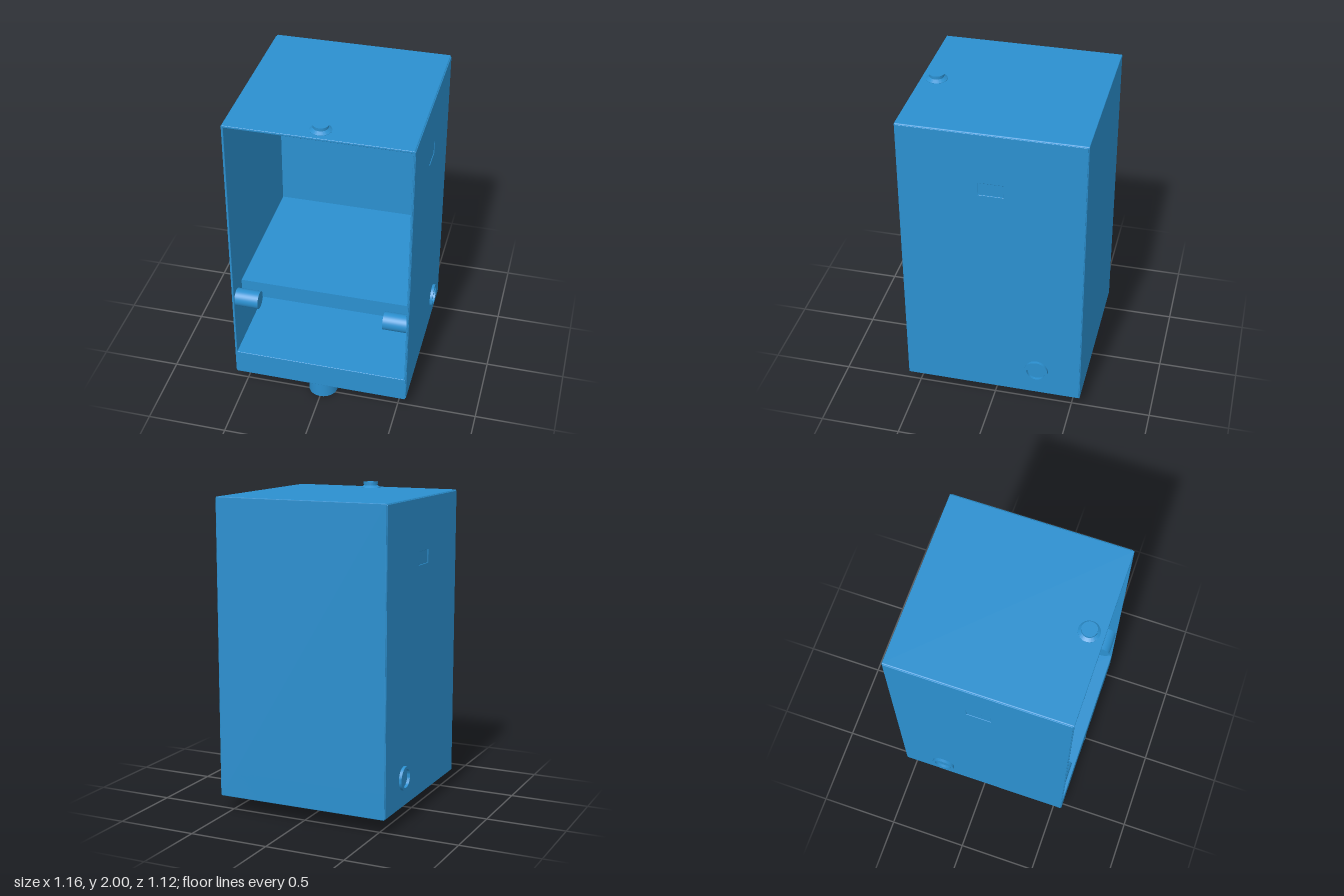
import * as THREE from 'three';
import { toCreasedNormals } from 'three/addons/utils/BufferGeometryUtils.js';

const material = new THREE.MeshStandardMaterial({ color: 0x2b90d0 });

function add(parent, name, geometry, x = 0, y = 0, z = 0) {
  const mesh = new THREE.Mesh(geometry, material);
  mesh.name = name;
  mesh.position.set(x, y, z);
  parent.add(mesh);
  return mesh;
}

function lathe(profile) {
  const points = profile.map(([r, y]) => new THREE.Vector2(r, y));
  return toCreasedNormals(new THREE.LatheGeometry(points, 48), 0.4);
}

// Rectangle outline with rounded corners
function roundedRect(x0, y0, x1, y1, r) {
  const shape = new THREE.Shape();
  shape.moveTo(x0 + r, y0);
  shape.absarc(x1 - r, y0 + r, r, -Math.PI / 2, 0);
  shape.absarc(x1 - r, y1 - r, r, 0, Math.PI / 2);
  shape.absarc(x0 + r, y1 - r, r, Math.PI / 2, Math.PI);
  shape.absarc(x0 + r, y0 + r, r, Math.PI, Math.PI * 1.5);
  return shape;
}

// Rectangular hole, wound against the outline
function rectHole(x0, y0, x1, y1) {
  return new THREE.Path([[x0, y0], [x0, y1], [x1, y1], [x1, y0]]
    .map(([x, y]) => new THREE.Vector2(x, y)));
}

// Extrusion centred on its depth, with edges softened inwards
function softExtrude(shape, depth, bevel) {
  return new THREE.ExtrudeGeometry(shape, {
    depth: depth - 2 * bevel, bevelEnabled: true, bevelThickness: bevel,
    bevelSize: bevel, bevelOffset: -bevel, bevelSegments: 3, curveSegments: 4,
  }).translate(0, 0, bevel - depth / 2);
}

export function createModel() {
  const model = new THREE.Group();
  model.name = 'openCabinet';

  // Casing: thin walls and a thick base around an open front
  const outline = roundedRect(-0.556, 0.098, 0.556, 1.963, 0.008);
  outline.holes.push(rectHole(-0.545, 0.265, 0.545, 1.948));
  add(model, 'casing', softExtrude(outline, 1.12, 0.004));

  // Back wall closing the casing
  add(model, 'backWall', new THREE.BoxGeometry(1.1, 1.85, 0.022), 0, 1.03, -0.549);

  // Inner shelf
  add(model, 'shelf', new THREE.BoxGeometry(1.092, 0.11, 0.94), 0, 0.675, -0.07);

  // Side skins with a shallow recess, hinge pins and side ports, mirrored
  const skinShape = roundedRect(-0.555, 0.104, 0.555, 1.957, 0.008);
  skinShape.holes.push(rectHole(-0.075, 1.555, 0.075, 1.635));
  const skin = softExtrude(skinShape, 0.01, 0.003);
  const portRing = lathe([[0.058, 0], [0.075, 0], [0.075, 0.018], [0.058, 0.018], [0.058, 0]]);
  for (const side of [1, -1]) {
    const label = side > 0 ? 'left' : 'right';
    add(model, label + 'SideSkin', skin, side * 0.555).rotation.y = side * Math.PI / 2;
    const pin = add(model, label + 'HingePin',
      new THREE.CylinderGeometry(0.056, 0.056, 0.152, 40), side * 0.471, 0.675, 0.5);
    pin.rotation.z = Math.PI / 2;
    const port = add(model, label + 'PortRing', portRing, side * 0.56, 0.283, -0.28);
    port.rotation.z = -side * Math.PI / 2;
  }

  // Hollow outlet pipe under the base
  add(model, 'outletPipe',
    lathe([[0.086, 0.1], [0.086, 0], [0.092, 0], [0.092, 0.11]]), 0, 0, 0.468);

  // Top knob: flared collar, short neck and cap
  add(model, 'topKnob', lathe([
    [0.065, 1.96], [0.065, 1.965], [0.044, 1.979],
    [0.044, 1.985], [0.047, 1.985], [0.047, 2], [0, 2],
  ]), 0, 0, 0.466);

  return model;
}
